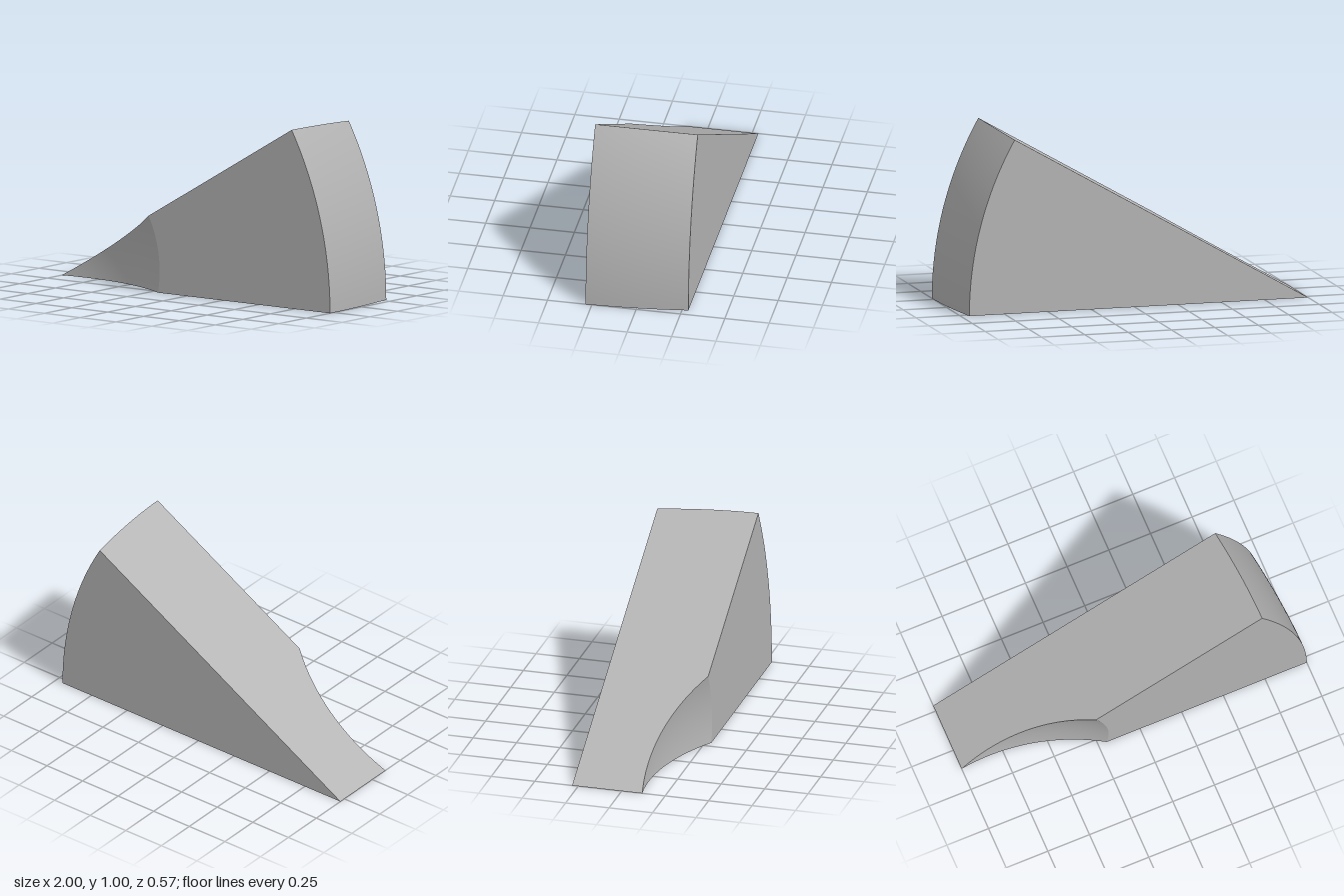
import * as THREE from 'three';

const ANGLE = Math.PI / 6; // wedge opening, hinged on the vertical plane x = -1
const FRONT = 0.285, BACK = -0.285;
const SPHERE = { x: 0.171, y: 0.12, z: 1.3, r: 1.2 }; // ball that hollows the tip

// Outer radius bows slightly inward toward the back
const outerRadius = (z) => 2 - 0.047 * ((FRONT - z) / (FRONT - BACK)) ** 1.8;

// Front depth inside the hollow, at polar position (r, a)
function hollowZ(r, a) {
  const dx = r * Math.cos(a) - SPHERE.x, dy = r * Math.sin(a) - SPHERE.y;
  return SPHERE.z - Math.sqrt(SPHERE.r ** 2 - dx * dx - dy * dy);
}

// Radius at which the hollow meets the flat front along angle a
function seamRadius(a) {
  const b = SPHERE.x * Math.cos(a) + SPHERE.y * Math.sin(a);
  const c = SPHERE.x ** 2 + SPHERE.y ** 2 - SPHERE.r ** 2 + (SPHERE.z - FRONT) ** 2;
  return b + Math.sqrt(b * b - c);
}

// Smooth surface from fn(u, v) -> [radius, angle, z]
function polarGrid(nu, nv, fn) {
  const pos = [], idx = [];
  for (let j = 0; j <= nv; j++) {
    for (let i = 0; i <= nu; i++) {
      const [r, a, z] = fn(i / nu, j / nv);
      pos.push(r * Math.cos(a), r * Math.sin(a), z);
    }
  }
  for (let j = 0; j < nv; j++) {
    for (let i = 0; i < nu; i++) {
      const a = j * (nu + 1) + i, d = a + nu + 1;
      idx.push(a, a + 1, d + 1, a, d + 1, d);
    }
  }
  const g = new THREE.BufferGeometry();
  g.setAttribute('position', new THREE.Float32BufferAttribute(pos, 3));
  g.setIndex(idx);
  g.computeVertexNormals();
  return g;
}

// Flat side of the wedge at angle a; sign mirrors it to face up or down
function sideFace(a, sign) {
  const pts = [new THREE.Vector2(0, sign * BACK)];
  const N = 40, seam = seamRadius(a);
  for (let i = 0; i <= N; i++) {
    const z = BACK + (FRONT - BACK) * i / N;
    pts.push(new THREE.Vector2(outerRadius(z), sign * z));
  }
  for (let i = N; i >= 0; i--) {
    const r = seam * i / N;
    pts.push(new THREE.Vector2(r, sign * hollowZ(r, a)));
  }
  return new THREE.ShapeGeometry(new THREE.Shape(pts)).rotateX(sign * Math.PI / 2).rotateZ(a);
}

export function createModel() {
  const model = new THREE.Group();
  model.name = 'wedge';
  const grey = new THREE.MeshStandardMaterial({ color: 0xb4b4b4 });
  grey.name = 'grey';

  const add = (name, geometry) => {
    const mesh = new THREE.Mesh(geometry, grey);
    mesh.name = name;
    mesh.position.x = -1;
    model.add(mesh);
  };

  // Front: hollowed tip, then the flat face beyond the seam
  add('hollowTip', polarGrid(48, 32, (u, v) => {
    const a = v * ANGLE, r = Math.max(u, 0.0005) * seamRadius(a);
    return [r, a, hollowZ(r, a)];
  }));
  add('frontFace', polarGrid(1, 32, (u, v) => {
    const a = v * ANGLE;
    return [u ? 2 : seamRadius(a), a, FRONT];
  }));

  // Curved rim
  add('outerRim', polarGrid(32, 20, (u, v) => {
    const z = BACK + (FRONT - BACK) * v;
    return [outerRadius(z), u * ANGLE, z];
  }));

  // Back sector, turned to face -z
  add('backFace', new THREE.CircleGeometry(outerRadius(BACK), 32, -ANGLE, ANGLE)
    .rotateX(Math.PI).translate(0, 0, BACK));

  // Underside and sloping top
  add('underside', sideFace(0, 1));
  add('slopingTop', sideFace(ANGLE, -1));
  return model;
}
